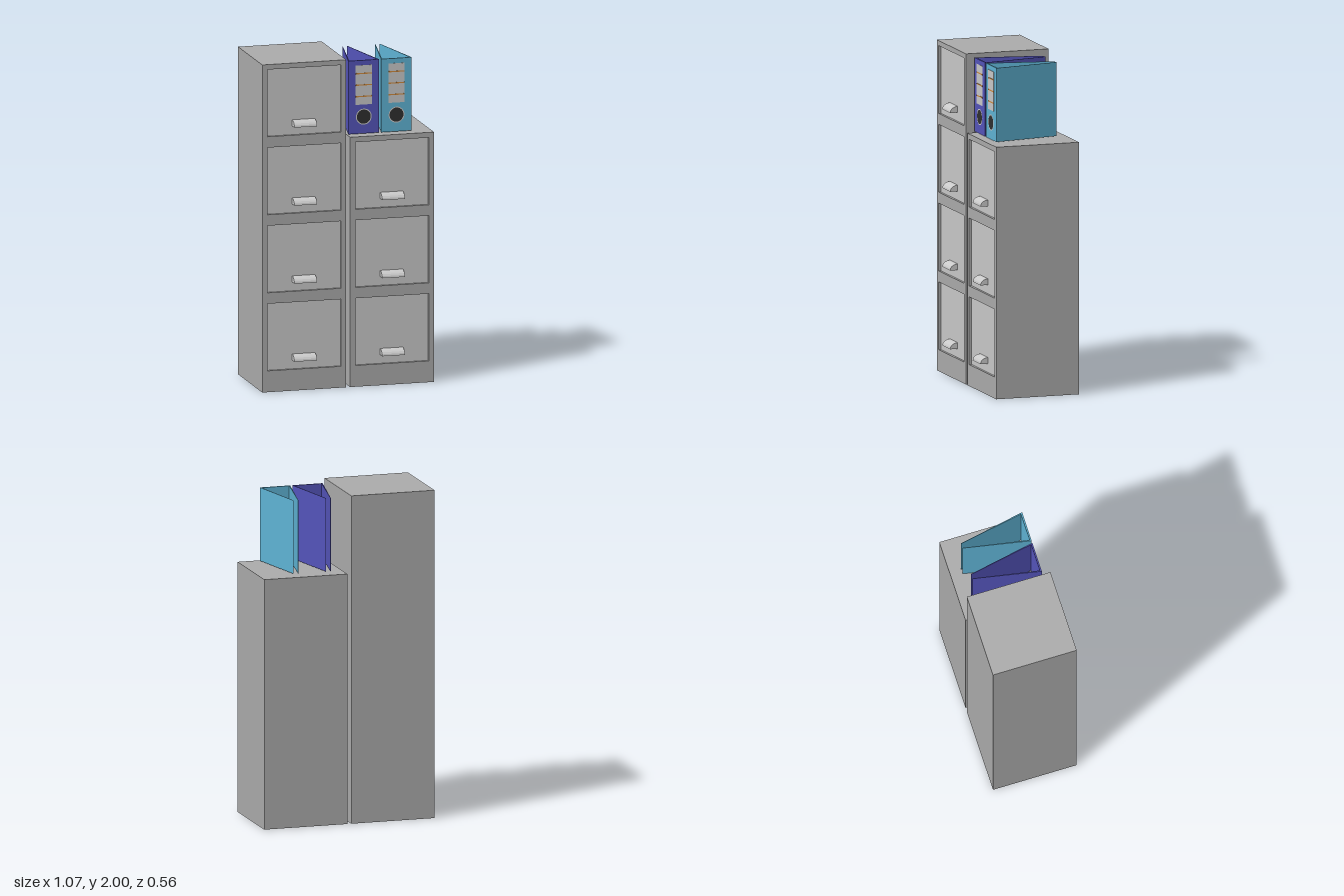
import * as THREE from 'three';

const mat = (color) => new THREE.MeshStandardMaterial({ color });
const lightGrey = mat(0xcccccc);
const bodyGrey = mat(0xadadad);
const black = mat(0x303030);
const orange = mat(0xd08a3c);

const BACK = -0.278, FRONT = 0.245, RECESS = 0.018;
const CAB_W = 0.52, DRAWER_W = 0.456, DRAWER_H = 0.41;
const FIRST_Y = 0.335, PITCH = 0.4765;

function add(parent, name, geometry, material, x = 0, y = 0, z = 0) {
  const mesh = new THREE.Mesh(geometry, material);
  mesh.name = name;
  mesh.position.set(x, y, z);
  parent.add(mesh);
  return mesh;
}

const polygon = (points) => new THREE.Shape(points.map(([x, y]) => new THREE.Vector2(x, y)));

function rectPath(target, x, y, w, h) {
  target.moveTo(x - w / 2, y - h / 2);
  target.lineTo(x + w / 2, y - h / 2);
  target.lineTo(x + w / 2, y + h / 2);
  target.lineTo(x - w / 2, y + h / 2);
  target.closePath();
  return target;
}

// Quarter-round pull: profile runs outward from the drawer, extruded sideways
function handleGeometry() {
  const depth = 0.048, height = 0.038, width = 0.14;
  const points = [[0, 0]];
  for (let i = 0; i <= 5; i++) {
    const a = (i / 5) * Math.PI / 2;
    points.push([depth * Math.cos(a), height * Math.sin(a)]);
  }
  const g = new THREE.ExtrudeGeometry(polygon(points), { depth: width, bevelEnabled: false });
  g.translate(0, 0, -width / 2);
  g.rotateY(-Math.PI / 2); // profile x becomes +z
  return g;
}

function createCabinet(name, x, height, drawers) {
  const cabinet = new THREE.Group();
  cabinet.name = name;
  cabinet.position.x = x;
  const bodyDepth = FRONT - RECESS - BACK;
  add(cabinet, 'cabinetBody', new THREE.BoxGeometry(CAB_W, height, bodyDepth), bodyGrey,
    0, height / 2, BACK + bodyDepth / 2);

  // Front frame with one opening per drawer
  const frame = rectPath(new THREE.Shape(), 0, height / 2, CAB_W, height);
  const pull = handleGeometry();
  for (let i = 0; i < drawers; i++) {
    const y = FIRST_Y + i * PITCH;
    frame.holes.push(rectPath(new THREE.Path(), 0, y, DRAWER_W, DRAWER_H));
    const drawer = new THREE.Group();
    drawer.name = 'drawer';
    drawer.position.set(0, y, FRONT - RECESS);
    add(drawer, 'drawerFront', new THREE.BoxGeometry(DRAWER_W, DRAWER_H, 0.006), lightGrey);
    add(drawer, 'drawerHandle', pull, lightGrey, 0, -0.152, 0.003);
    cabinet.add(drawer);
  }
  add(cabinet, 'frontFrame',
    new THREE.ExtrudeGeometry(frame, { depth: RECESS, bevelEnabled: false }),
    bodyGrey, 0, 0, FRONT - RECESS);
  return cabinet;
}

function createBinder(name, x, color) {
  const binder = new THREE.Group();
  binder.name = name;
  binder.position.x = x;
  const bottom = 1.533, height = 0.447, front = 0.2, back = -0.208;

  // Spine and two tapering covers as one bent sheet, seen from above
  const sheet = polygon([
    [-0.095, -front], [0.095, -front], [0.0155, -back], [0.0135, -back],
    [0.086, -front + 0.01], [-0.086, -front + 0.01], [-0.0135, -back], [-0.0155, -back],
  ]);
  const g = new THREE.ExtrudeGeometry(sheet, { depth: height, bevelEnabled: false });
  g.rotateX(-Math.PI / 2); // extrusion becomes +y
  add(binder, 'binderCover', g, mat(color), 0, bottom, 0);

  // Label with ruled lines on the spine
  add(binder, 'spineLabel', new THREE.BoxGeometry(0.1, 0.24, 0.002), lightGrey, 0, 1.83, front + 0.001);
  for (const y of [1.9, 1.83, 1.76]) {
    add(binder, 'labelLine', new THREE.BoxGeometry(0.1, 0.007, 0.002), orange, 0, y, front + 0.002);
  }

  // Finger hole with a metal rim
  add(binder, 'fingerHoleRim', new THREE.RingGeometry(0.043, 0.049, 32), lightGrey, 0, 1.636, front + 0.002);
  add(binder, 'fingerHole', new THREE.CircleGeometry(0.044, 32), black, 0, 1.636, front + 0.0015);
  return binder;
}

export function createModel() {
  const model = new THREE.Group();
  model.name = 'filingCabinets';
  model.add(createCabinet('tallCabinet', -0.274, 2, 4));
  model.add(createCabinet('shortCabinet', 0.271, 1.525, 3));
  model.add(createBinder('blueBinder', 0.108, 0x5555bc));
  model.add(createBinder('tealBinder', 0.311, 0x60b5d6));
  return model;
}
